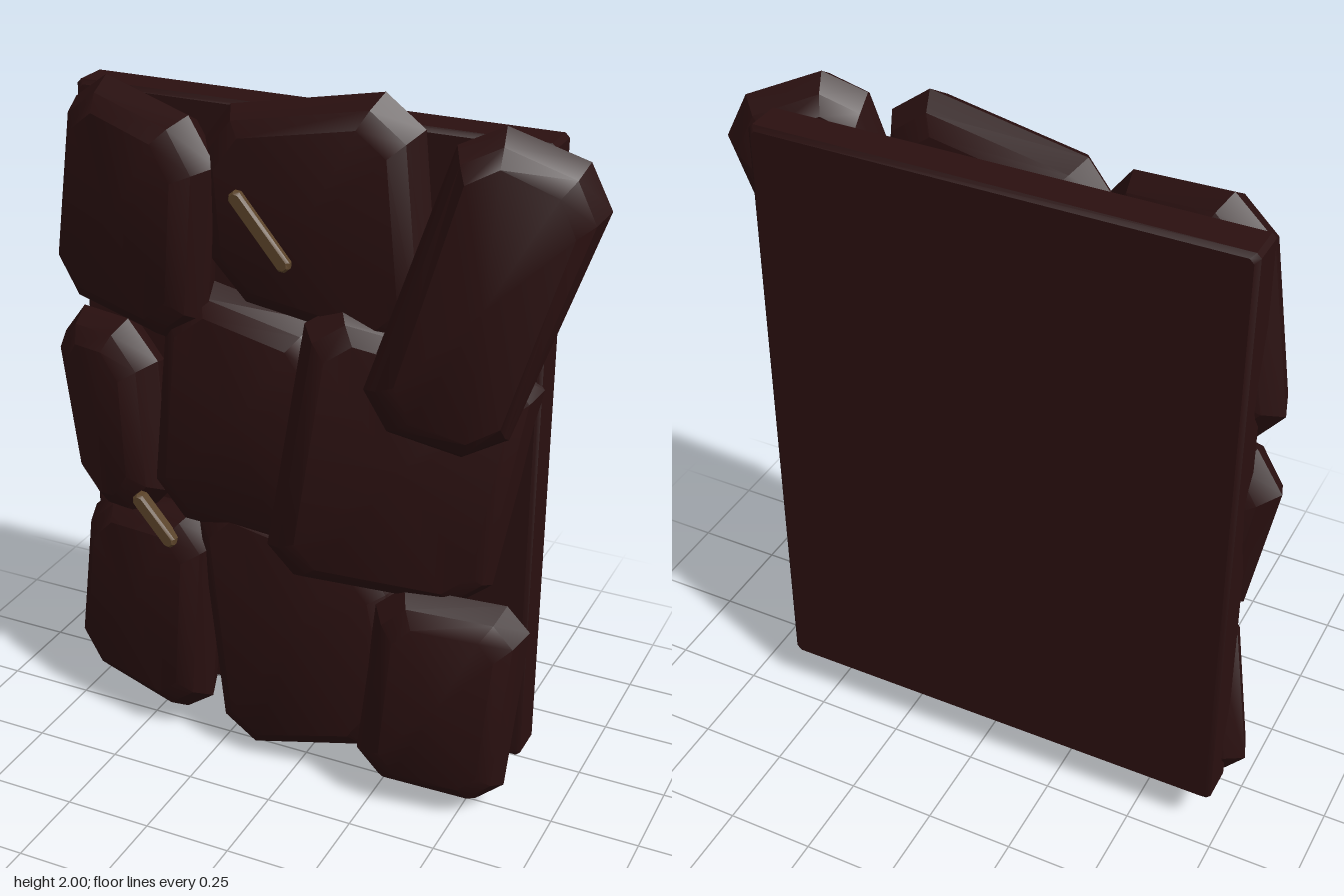
import * as THREE from 'three';
import { toCreasedNormals } from 'three/addons/utils/BufferGeometryUtils.js';

const stoneMat = new THREE.MeshStandardMaterial({ name: 'dark stone', color: 0x2a1010 });
const strawMat = new THREE.MeshStandardMaterial({ name: 'dull straw', color: 0x5a4228 });

// Outline of a four-cornered slab, counter-clockwise, with every corner cut off
function cutCorners(corners, cut) {
  const pts = corners.map(([x, y]) => new THREE.Vector2(x, y));
  const toward = (a, b) => a.clone().add(b.clone().sub(a).setLength(cut));
  return pts.flatMap((p, i) => [toward(p, pts[(i + 3) % 4]), toward(p, pts[(i + 1) % 4])]);
}

// Slab from an outline: rings of [depth, inset] with flat caps, leaning along x
function slabGeometry(outline, z0, slope, rings) {
  const box = new THREE.Box2().setFromPoints(outline);
  const c = box.getCenter(new THREE.Vector2());
  const half = box.getSize(new THREE.Vector2()).multiplyScalar(0.5);
  const n = outline.length;
  const pos = [];
  const idx = [];
  const put = (x, y, d) => pos.push(x - slope * d, y, z0 + slope * (x - c.x) + d);
  for (const [d, inset] of rings) {
    for (const p of outline) {
      put(c.x + (p.x - c.x) * (1 - inset / half.x), c.y + (p.y - c.y) * (1 - inset / half.y), d);
    }
  }
  const last = (rings.length - 1) * n;
  const back = rings.length * n;
  put(c.x, c.y, rings[0][0]);
  put(c.x, c.y, rings[rings.length - 1][0]);
  for (let i = 0; i < n; i++) {
    const j = (i + 1) % n;
    for (let r = 0; r < last; r += n) {
      idx.push(r + i, r + j, r + n + j, r + i, r + n + j, r + n + i);
    }
    idx.push(back, j, i, back + 1, last + i, last + j);
  }
  const g = new THREE.BufferGeometry();
  g.setAttribute('position', new THREE.Float32BufferAttribute(pos, 3));
  g.setIndex(idx);
  return toCreasedNormals(g, 0.6);
}

const stoneRings = [[-0.085, 0.08], [-0.055, 0.035], [0, 0], [0.055, 0.035], [0.085, 0.08]];
const backingRings = [[-0.06, 0.012], [-0.048, 0], [0.048, 0], [0.06, 0.012]];
const splinterRings = [[-0.02, 0.006], [-0.012, 0], [0.012, 0], [0.02, 0.006]];

// name, depth at the centre, lean along x, corner cut, four corners
const stones = [
  ['topLeftStone', -0.005, 0.27, 0.1, [[-0.8, 1.3], [-0.27, 1.24], [-0.21, 1.87], [-0.69, 1.96]]],
  ['topMiddleStone', 0, 0, 0.1, [[-0.27, 1.4], [0.38, 1.31], [0.31, 2.02], [-0.31, 1.9]]],
  ['topRightStone', 0.035, -0.33, 0.09, [[0.19, 1.18], [0.545, 1.06], [0.807, 1.85], [0.45, 2]]],
  ['middleLeftStone', -0.03, 0.27, 0.1, [[-0.7, 0.66], [-0.41, 0.68], [-0.45, 1.27], [-0.815, 1.26]]],
  ['middleStone', 0.005, 0, 0.11, [[-0.48, 0.7], [0.1, 0.68], [0.14, 1.35], [-0.4, 1.46]]],
  ['middleRightStone', 0.015, -0.32, 0.08, [[-0.07, 0.67], [0.51, 0.59], [0.64, 1.33], [0.05, 1.48]]],
  ['bottomLeftStone', -0.02, 0.2, 0.09, [[-0.785, 0.11], [-0.3, 0.04], [-0.24, 0.75], [-0.7, 0.72]]],
  ['bottomMiddleStone', 0, 0, 0.1, [[-0.25, -0.026], [0.32, 0.125], [0.29, 0.75], [-0.35, 0.86]]],
  ['bottomRightStone', 0.045, -0.17, 0.07, [[0.19, 0.065], [0.605, 0.02], [0.665, 0.66], [0.25, 0.68]]],
];

// Straw splinters lying on the stones: name and ends
const splinters = [
  ['upperSplinter', [-0.165, 1.72], [-0.01, 1.535]],
  ['lowerSplinter', [-0.485, 0.785], [-0.37, 0.65]],
];

// Counter-clockwise corners of an upright rectangle
const rectangle = (x0, y0, x1, y1) => [[x0, y0], [x1, y0], [x1, y1], [x0, y1]];

export function createModel() {
  const model = new THREE.Group();
  model.name = 'stoneWallPanel';
  const add = (name, geometry, material) => {
    const mesh = new THREE.Mesh(geometry, material);
    mesh.name = name;
    model.add(mesh);
    return mesh;
  };

  // Flat backing with narrow chamfers
  const backing = cutCorners(rectangle(-0.72, 0.12, 0.62, 1.9), 0.012);
  add('backing', slabGeometry(backing, -0.14, 0, backingRings), stoneMat);

  // Overlapping stones
  for (const [name, z, slope, cut, corners] of stones) {
    add(name, slabGeometry(cutCorners(corners, cut), z, slope, stoneRings), stoneMat);
  }

  // Splinters
  for (const [name, a, b] of splinters) {
    const dx = b[0] - a[0];
    const dy = b[1] - a[1];
    const l = Math.hypot(dx, dy) / 2;
    const outline = cutCorners(rectangle(-l, -0.021, l, 0.021), 0.012);
    const mesh = add(name, slabGeometry(outline, 0, 0, splinterRings), strawMat);
    mesh.position.set((a[0] + b[0]) / 2, (a[1] + b[1]) / 2, 0.085);
    mesh.rotation.z = Math.atan2(dy, dx);
  }
  return model;
}
